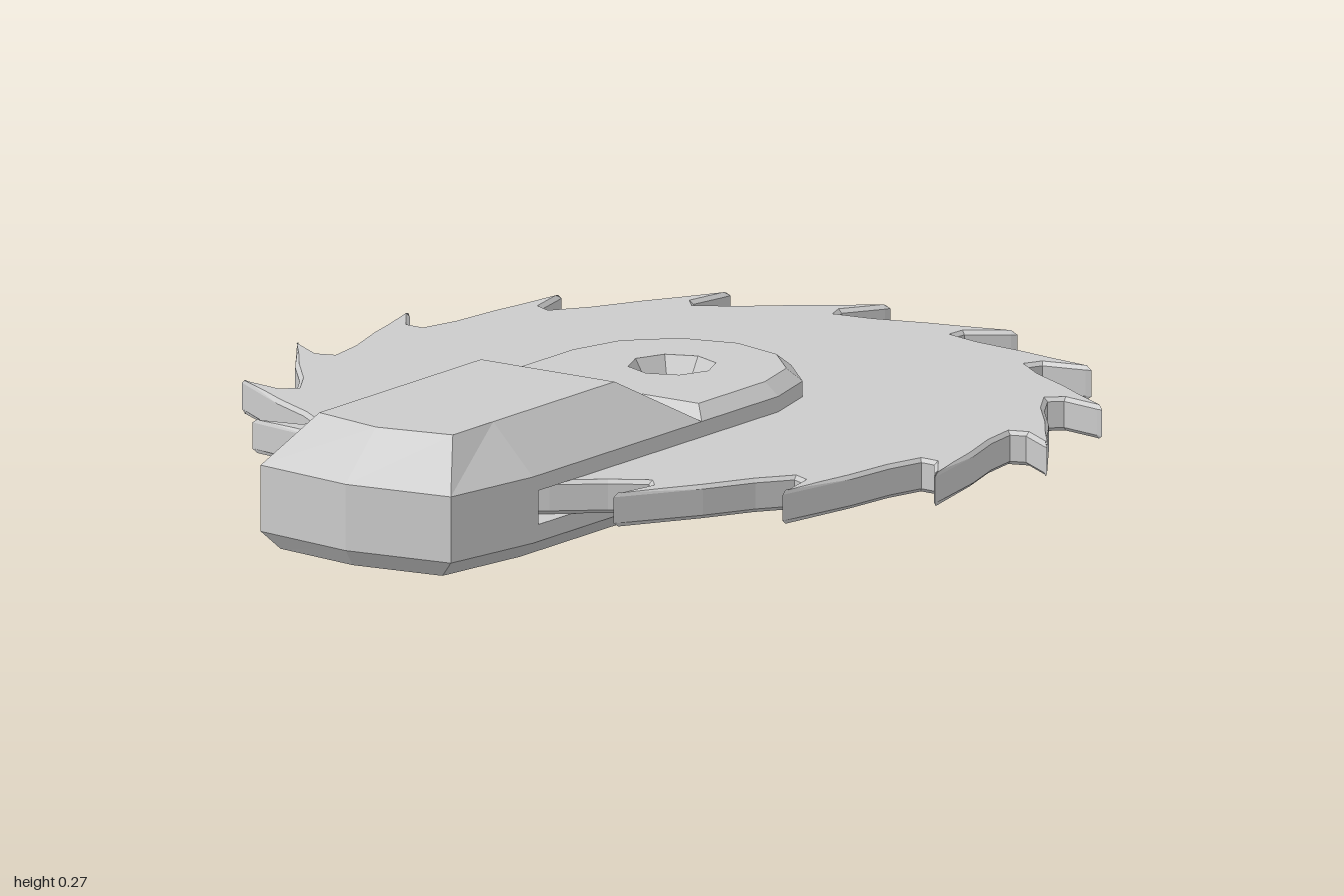
import * as THREE from 'three';

const HUB_X = 0.13;
const TEETH = 16;
const material = new THREE.MeshStandardMaterial({ color: 0xcccccc, flatShading: true });

// Mirrors a half outline [x, z] (z >= 0, left to right) into a closed ring
function mirror(half) {
  const back = half.filter(([, z]) => z > 0).map(([x, z]) => [x, -z]).reverse();
  return [...half, ...back];
}

// Rounded nose around the hub in 30 degree steps, ending on the axis
function nose(r) {
  return [90, 60, 30, 0].map((deg) => {
    const a = THREE.MathUtils.degToRad(deg);
    return [HUB_X - 0.01 + r * Math.cos(a), deg === 0 ? 0 : r * Math.sin(a)];
  });
}

function octagon(r) {
  return Array.from({ length: 8 }, (_, i) => {
    const a = (i * Math.PI) / 4;
    return [HUB_X + r * Math.cos(a), r * Math.sin(a)];
  });
}

// Stacks rings { y, pts } into a closed solid, with an optional hole in both caps
function loft(rings, hole = null) {
  const pos = [];
  const put = (p, y) => pos.push(p[0], y, p[1]);
  for (let k = 0; k + 1 < rings.length; k++) {
    const a = rings[k], b = rings[k + 1], n = a.pts.length;
    for (let i = 0; i < n; i++) {
      const j = (i + 1) % n;
      put(a.pts[i], a.y); put(a.pts[j], a.y); put(b.pts[j], b.y);
      put(a.pts[i], a.y); put(b.pts[j], b.y); put(b.pts[i], b.y);
    }
  }
  const cap = ({ y, pts }, up) => {
    const flat = (list) => list.map(([x, z]) => new THREE.Vector2(x, -z));
    const all = hole ? [...pts, ...hole] : pts;
    const faces = THREE.ShapeUtils.triangulateShape(flat(pts), hole ? [flat(hole)] : []);
    for (const [a, b, c] of faces) {
      for (const i of up ? [a, b, c] : [a, c, b]) put(all[i], y);
    }
  };
  cap(rings[0], false);
  cap(rings[rings.length - 1], true);
  const geo = new THREE.BufferGeometry();
  geo.setAttribute('position', new THREE.Float32BufferAttribute(pos, 3));
  geo.computeVertexNormals();
  return geo;
}

// Toothed disc: each tooth is a tip, an undercut gullet and a long back
function bladeGeometry() {
  const tooth = [[-0.4, 0.862], [-4.6, 0.79], [-4.2, 0.757], [2, 0.76], [10.3, 0.797], [22.5, 0.873]];
  const pts = [];
  for (let i = 0; i < TEETH; i++) {
    for (const [deg, r] of tooth) {
      const a = THREE.MathUtils.degToRad(-5.3 + deg + (i * 360) / TEETH);
      pts.push(new THREE.Vector2(HUB_X + r * Math.cos(a), -r * Math.sin(a)));
    }
  }
  const shape = new THREE.Shape(pts);
  shape.holes.push(new THREE.Path(octagon(0.07).map(([x, z]) => new THREE.Vector2(x, z))));
  const geo = new THREE.ExtrudeGeometry(shape, {
    depth: 0.054, bevelEnabled: true, bevelThickness: 0.008,
    bevelSize: 0.008, bevelOffset: -0.008, bevelSegments: 1,
  });
  return geo.rotateX(-Math.PI / 2).translate(0, 0.078, 0);
}

export function createModel() {
  const model = new THREE.Group();
  model.name = 'sawBladeArm';
  const add = (name, geo) => {
    const mesh = new THREE.Mesh(geo, material);
    mesh.name = name;
    model.add(mesh);
    return mesh;
  };

  const tail = [[-1, 0], [-0.965, 0.235], [-0.73, 0.27]];
  const full = mirror([...tail, ...nose(0.27)]);
  const base = mirror([[-0.975, 0], [-0.945, 0.2], [-0.72, 0.232], ...nose(0.232)]);
  const hole = octagon(0.09);

  add('blade', bladeGeometry());

  // Fork: two plates joined by a block behind the blade slot
  add('lowerPlate', loft([{ y: 0, pts: base }, { y: 0.035, pts: full }, { y: 0.07, pts: full }], hole));
  const block = mirror([...tail, [-0.71, 0.27]]);
  add('slotBlock', loft([{ y: 0.07, pts: block }, { y: 0.14, pts: block }]));
  add('upperPlate', loft([{ y: 0.14, pts: full }, { y: 0.172, pts: full }], hole));

  // Raised handle with sloping sides
  add('handleTop', loft([
    { y: 0.172, pts: mirror([...tail, [-0.145, 0.27]]) },
    { y: 0.27, pts: mirror([[-0.895, 0], [-0.86, 0.165], [-0.72, 0.165], [-0.3, 0.165]]) },
  ]));

  // Chamfered pad over the hub
  add('hubPad', loft([
    { y: 0.172, pts: mirror([[-0.145, 0.27], ...nose(0.27)]) },
    { y: 0.198, pts: mirror([[-0.11, 0.237], ...nose(0.237)]) },
  ], hole));

  // Countersunk octagonal bore, facing inward
  const bore = [[0.09, 0.198], [0.05, 0.13], [0.05, 0.07], [0.09, 0]];
  const lining = add('axleHole', new THREE.LatheGeometry(bore.map(([r, y]) => new THREE.Vector2(r, y)), 8));
  lining.position.x = HUB_X;

  return model;
}
